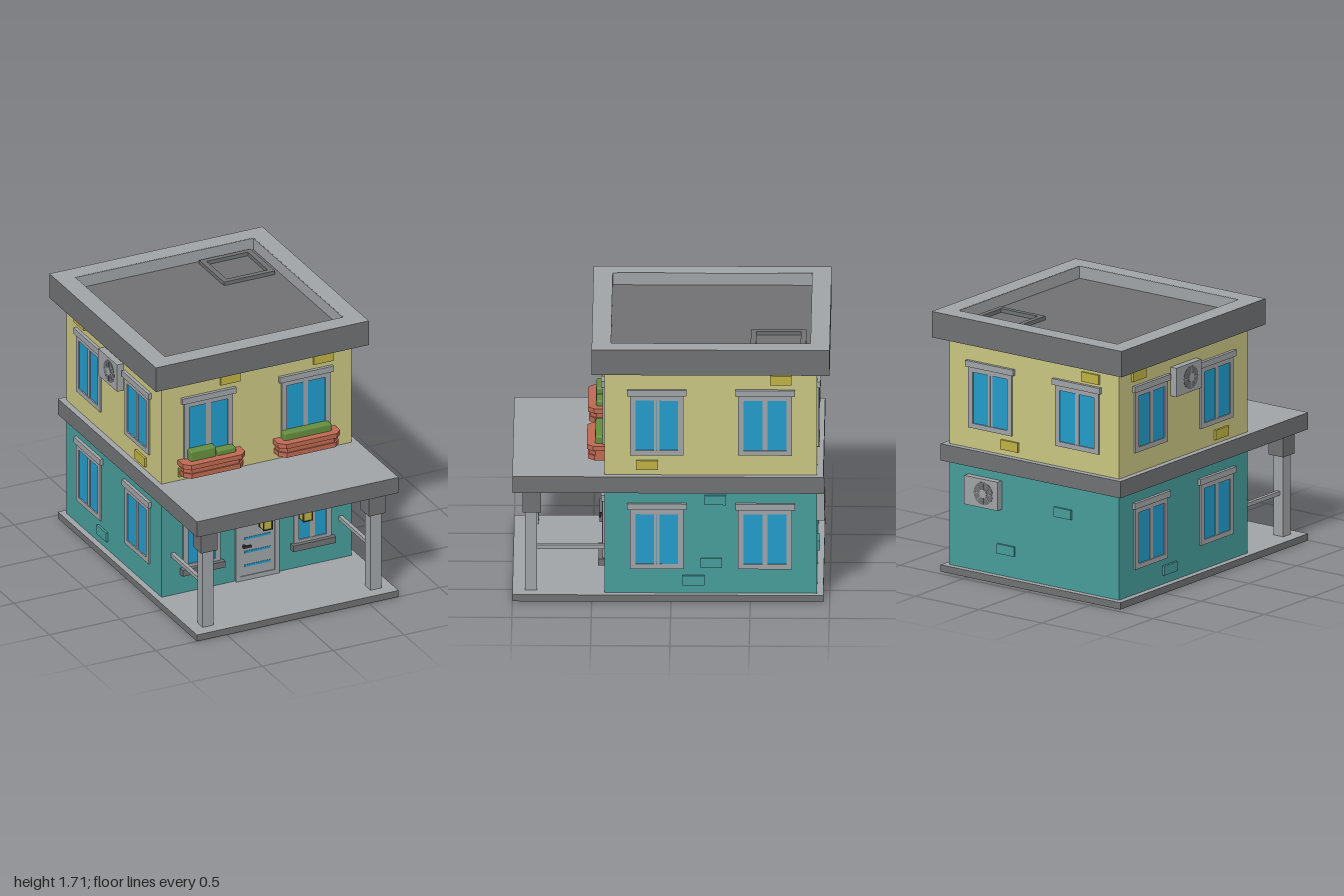
import * as THREE from 'three';
import { RoundedBoxGeometry } from 'three/addons/geometries/RoundedBoxGeometry.js';

const mat = (name, color) => {
  const m = new THREE.MeshStandardMaterial({ color });
  m.name = name;
  return m;
};

export function createModel() {
  const house = new THREE.Group();
  house.name = 'house';
  const dark = mat('dark grey', 0x717274), light = mat('light grey', 0xa2a5a8);
  const teal = mat('teal wall', 0x479e9b), cream = mat('pale yellow wall', 0xcbc783);
  const blue = mat('blue glass', 0x229dcc), ochre = mat('ochre', 0xc0b444);
  const clay = mat('terracotta', 0xc06a52), green = mat('leaf green', 0x668f40);
  const black = mat('charcoal', 0x3a3a3c);

  const mesh = (parent, name, geo, m, x = 0, y = 0, z = 0) => {
    const o = new THREE.Mesh(geo, m);
    o.name = name;
    o.position.set(x, y, z);
    parent.add(o);
    return o;
  };
  // Box given by its limits on each axis
  const span = (parent, name, m, x0, x1, y0, y1, z0, z1) =>
    mesh(parent, name, new THREE.BoxGeometry(x1 - x0, y1 - y0, z1 - z0), m,
      (x0 + x1) / 2, (y0 + y1) / 2, (z0 + z1) / 2);
  // Rectangular ring in the xy plane, extruded along +z
  const ring = (w, h, iw, ih, depth) => {
    const rect = (C, a, b) => new C([[-a, -b], [a, -b], [a, b], [-a, b]]
      .map(([x, y]) => new THREE.Vector2(x / 2, y / 2)));
    const s = rect(THREE.Shape, w, h);
    s.holes.push(rect(THREE.Path, iw, ih));
    return new THREE.ExtrudeGeometry(s, { depth, bevelEnabled: false });
  };
  // Group on a wall whose local +z points outwards; u runs along the wall
  const mount = (name, side, u, y) => {
    const g = new THREE.Group();
    g.name = name;
    const [x, z, r] = {
      front: [u, 0.42, 0], back: [u, -0.92, Math.PI],
      right: [0.67, u, Math.PI / 2], left: [-0.67, u, -Math.PI / 2],
    }[side];
    g.position.set(x, y, z);
    g.rotation.y = r;
    house.add(g);
    return g;
  };

  // Slabs and storeys
  const paved = [dark, dark, light, dark, dark, dark];
  span(house, 'baseSlab', paved, -0.71, 0.71, 0, 0.045, -0.96, 1);
  span(house, 'groundFloorWalls', teal, -0.67, 0.67, 0.045, 0.73, -0.92, 0.42);
  span(house, 'porchRoofSlab', paved, -0.71, 0.71, 0.73, 0.84, -0.96, 1);
  span(house, 'upperFloorWalls', cream, -0.67, 0.67, 0.84, 1.54, -0.92, 0.42);

  // Flat roof with a parapet and a hatch
  span(house, 'roofDeck', dark, -0.75, 0.75, 1.54, 1.63, -1, 0.5);
  const parapet = mesh(house, 'parapet', ring(1.5, 1.5, 1.26, 1.265, 0.08), [light, dark], 0, 1.63, -0.25);
  parapet.rotation.x = -Math.PI / 2;
  for (const s of [-1, 1]) {
    span(house, 'parapetLining', light, s * 0.628 - 0.002, s * 0.628 + 0.002, 1.63, 1.709, -0.88, 0.38);
    const z = -0.25 + s * 0.6305;
    span(house, 'parapetLining', light, -0.63, 0.63, 1.63, 1.709, z - 0.002, z + 0.002);
  }
  const hatch = mesh(house, 'roofHatch', ring(0.36, 0.35, 0.29, 0.28, 0.025), dark, 0.41, 1.63, -0.675);
  hatch.rotation.x = -Math.PI / 2;

  // Windows: frame, glass, mullion and lintel; y is the bottom of the frame
  const addWindow = (side, u, y, w, sill = false) => {
    const h = 0.4, g = mount('window', side, u, y + h / 2);
    mesh(g, 'windowFrame', ring(w, h, w - 0.07, h - 0.064, 0.012), light);
    mesh(g, 'windowGlass', new THREE.BoxGeometry(w - 0.07, h - 0.064, 0.004), blue, 0, 0, 0.002);
    for (const s of [-1, 1])
      mesh(g, 'windowMullion', new THREE.BoxGeometry(0.016, h - 0.064, 0.008), light, s * 0.0085, 0, 0.004);
    mesh(g, 'windowLintel', new THREE.BoxGeometry(w + 0.035, 0.04, 0.022), light, 0, h / 2 + 0.02, 0.011);
    if (sill) mesh(g, 'windowSill', new THREE.BoxGeometry(0.3, 0.043, 0.04), dark, 0, -h / 2 - 0.01, 0.02);
  };
  for (const s of [-1, 1]) {
    addWindow('front', s * 0.39, 0.21, 0.262, true);
    addWindow('front', s * 0.343, 0.975, 0.343);
    addWindow('back', s * 0.343, 0.975, 0.343);
  }
  for (const side of ['right', 'left'])
    for (const z of [0.09, -0.593]) {
      addWindow(side, z, 0.21, 0.34);
      addWindow(side, z, 0.975, 0.34);
    }

  // Exposed bricks scattered on the walls
  const bricks = [
    ['front', -0.19, 1.48], ['front', 0.466, 1.48], ['front', -0.486, 0.9], ['front', -0.098, 0.675],
    ['right', -0.692, 1.48], ['right', 0.152, 0.908], ['right', -0.278, 0.673],
    ['right', -0.253, 0.25], ['right', -0.142, 0.133],
    ['left', -0.72, 1.48], ['left', 0.14, 0.9], ['left', -0.4, 0.135],
    ['back', -0.45, 1.465], ['back', 0.19, 0.908], ['back', -0.23, 0.54], ['back', 0.22, 0.22],
  ];
  for (const [side, u, y] of bricks)
    mesh(mount('brick', side, u, y), 'brickFace', new THREE.BoxGeometry(0.137, 0.063, 0.03),
      y > 0.8 ? ochre : teal);

  // Air conditioners
  for (const [side, u, y] of [['left', -0.25, 1.356], ['back', 0.39, 0.572]]) {
    const g = mount('airConditioner', side, u, y);
    mesh(g, 'casing', new THREE.BoxGeometry(0.265, 0.188, 0.045), light, 0, 0, 0.0225);
    const fan = (name, r, m, z) => {
      mesh(g, name, new THREE.CylinderGeometry(r, r, 0.004, 20), m, 0.02, 0, z).rotation.x = Math.PI / 2;
    };
    fan('fanRing', 0.075, dark, 0.045);
    fan('fanHub', 0.028, light, 0.048);
    for (let i = 0; i < 4; i++) {
      const blade = mesh(g, 'fanBlade', new THREE.BoxGeometry(0.13, 0.006, 0.003), light, 0.02, 0, 0.0475);
      blade.rotation.z = i * Math.PI / 4;
    }
  }

  // Door with glazed slits and a handle
  const door = mount('door', 'front', -0.002, 0.045);
  mesh(door, 'doorFrame', ring(0.304, 0.502, 0.24, 0.44, 0.02), light, 0, 0.251, 0);
  mesh(door, 'doorLeaf', new THREE.BoxGeometry(0.24, 0.472, 0.012), light, 0, 0.236, 0.008);
  for (let i = 0; i < 4; i++)
    mesh(door, 'doorSlit', new THREE.BoxGeometry(0.18, 0.015, 0.004), blue, 0, 0.1 + i * 0.095, 0.015);
  mesh(door, 'doorHandle', new THREE.BoxGeometry(0.054, 0.013, 0.012), black, -0.079, 0.24, 0.034);
  mesh(door, 'handleStem', new THREE.BoxGeometry(0.014, 0.02, 0.024), black, -0.097, 0.24, 0.022);

  // Porch posts, capitals and rails
  for (const s of [-1, 1]) {
    const x = s * 0.591;
    span(house, 'porchPost', light, x - 0.039, x + 0.039, 0.045, 0.58, 0.845, 0.92);
    span(house, 'postCapital', dark, x - 0.058, x + 0.058, 0.575, 0.73, 0.82, 0.937);
    span(house, 'porchRail', light, x - 0.013, x + 0.013, 0.314, 0.34, 0.42, 0.845);
  }

  // Porch lanterns hanging from a ceiling board
  span(house, 'lanternBoard', dark, -0.2, 0.2, 0.71, 0.73, 0.715, 0.935);
  for (const s of [-1, 1]) {
    const g = new THREE.Group();
    g.name = 'lantern';
    g.position.set(s * 0.14, 0, 0.83);
    house.add(g);
    span(g, 'lanternCap', black, -0.036, 0.036, 0.692, 0.712, -0.036, 0.036);
    span(g, 'lanternGlass', ochre, -0.029, 0.029, 0.6, 0.694, -0.029, 0.029);
    for (const a of [-1, 1])
      for (const b of [-1, 1])
        mesh(g, 'lanternBar', new THREE.BoxGeometry(0.008, 0.1, 0.008), black, a * 0.03, 0.645, b * 0.03);
    const foot = new THREE.CylinderGeometry(0.048, 0.026, 0.014, 4).rotateY(Math.PI / 4).toNonIndexed();
    foot.computeVertexNormals();
    mesh(g, 'lanternFoot', foot, black, 0, 0.593, 0);
  }

  // Window boxes made of three tiers with cut corners
  const tier = (w, d, h) => {
    const s = new THREE.Shape([[-w, 0], [w, 0], [w, -d + 0.04], [w - 0.04, -d], [0.04 - w, -d], [-w, -d + 0.04]]
      .map(([x, y]) => new THREE.Vector2(x, y)));
    return new THREE.ExtrudeGeometry(s, { depth: h, bevelEnabled: false }).rotateX(-Math.PI / 2);
  };
  for (const x of [-0.337, 0.333]) {
    const g = mount('windowBox', 'front', x, 0.888);
    mesh(g, 'boxFoot', tier(0.212, 0.105, 0.032), clay);
    mesh(g, 'boxWaist', tier(0.205, 0.096, 0.034), clay, 0, 0.032, 0);
    mesh(g, 'boxRim', tier(0.219, 0.112, 0.032), clay, 0, 0.065, 0);
  }
  // Clipped plants: x limits and top height
  for (const [x0, x1, top] of [[-0.493, -0.312, 1.053], [-0.3, -0.172, 1.02], [0.167, 0.502, 1.035]])
    mesh(house, 'plant', new RoundedBoxGeometry(x1 - x0, top - 0.95, 0.065, 1, 0.012), green,
      (x0 + x1) / 2, (top + 0.95) / 2, 0.448);

  return house;
}
